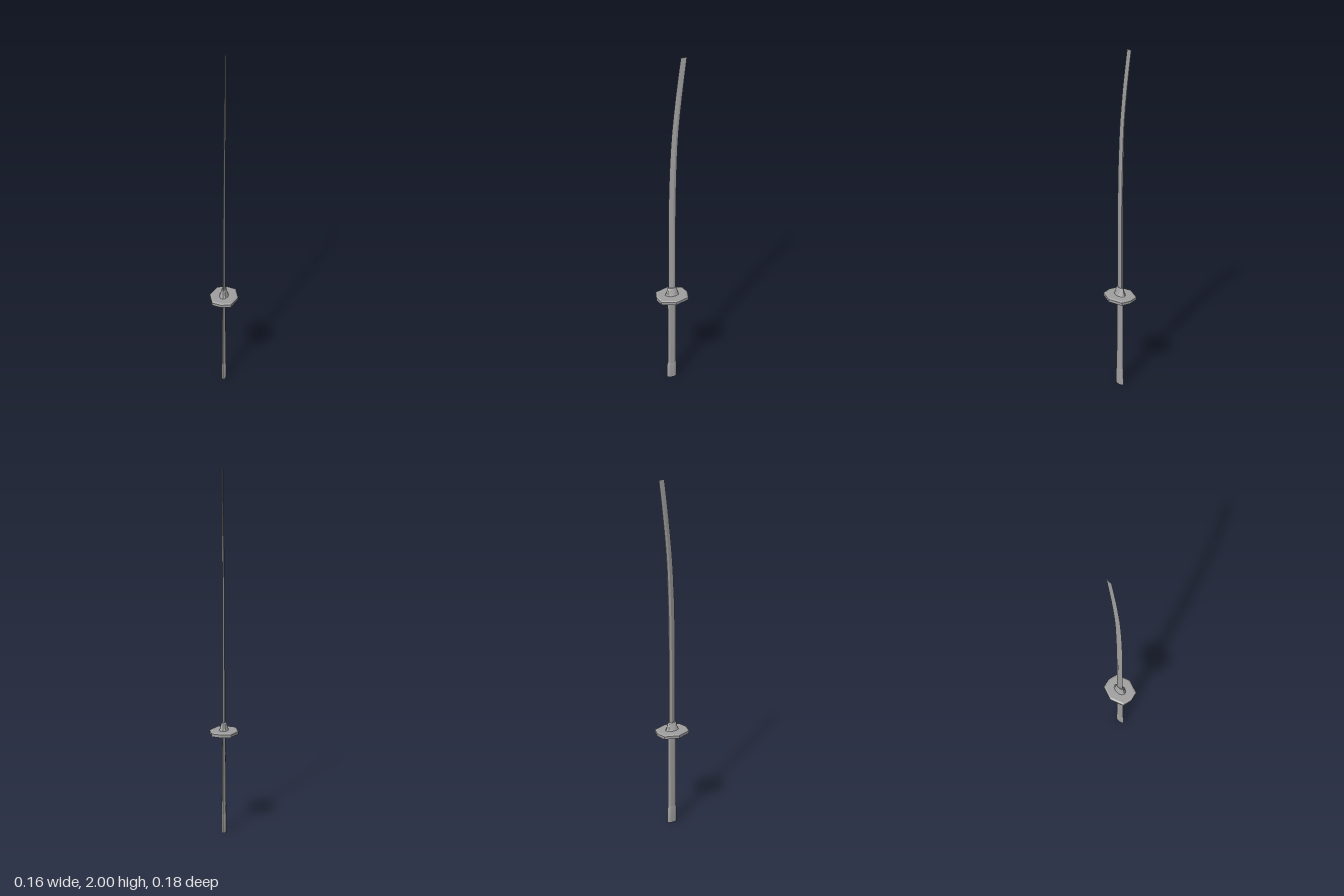
import * as THREE from 'three';
import { toCreasedNormals } from 'three/addons/utils/BufferGeometryUtils.js';

// Lofts a closed [x, z] profile through rings { y, sx, sz, x, z }, with end caps.
function loft(name, profile, rings, crease) {
  const n = profile.length, pos = [], idx = [];
  for (const { y, sx, sz, x = 0, z = 0 } of rings)
    for (const [px, pz] of profile) pos.push(x + px * sx, y, z + pz * sz);
  for (let i = 0; i < rings.length - 1; i++)
    for (let j = 0; j < n; j++) {
      const a = i * n + j, b = i * n + (j + 1) % n;
      idx.push(a, b, b + n, a, b + n, a + n);
    }
  const top = (rings.length - 1) * n;
  for (let j = 1; j < n - 1; j++) {
    idx.push(0, j + 1, j);
    idx.push(top, top + j, top + j + 1);
  }
  const g = new THREE.BufferGeometry();
  g.setAttribute('position', new THREE.Float32BufferAttribute(pos, 3));
  g.setIndex(idx);
  const mesh = new THREE.Mesh(toCreasedNormals(g, crease),
    new THREE.MeshStandardMaterial({ color: 0xa0a0a0 }));
  mesh.name = name;
  return mesh;
}

// Unit oval with a given number of sides, starting at +z
const oval = (sides) => Array.from({ length: sides }, (_, i) => {
  const a = (i / sides) * Math.PI * 2;
  return [Math.sin(a), Math.cos(a)];
});

export function createModel() {
  const group = new THREE.Group();
  group.name = 'sword';

  // Grip, slimming towards the guard
  group.add(loft('grip', oval(10), [
    { y: 0.09, sx: 0.013, sz: 0.025 },
    { y: 0.34, sx: 0.010, sz: 0.025 },
    { y: 0.58, sx: 0.008, sz: 0.025 },
  ], 0.8));

  // Pommel cap
  group.add(loft('pommel', oval(10), [
    { y: 0, sx: 0.014, sz: 0.03 },
    { y: 0.09, sx: 0.014, sz: 0.029 },
    { y: 0.105, sx: 0.0125, sz: 0.025 },
  ], 0.8));

  // Eight-sided guard plate: hollowed underneath, bevelled rim on top
  const plate = [[0, 0.092], [0.053, 0.079], [0.081, 0], [0.053, -0.079],
    [0, -0.092], [-0.053, -0.079], [-0.081, 0], [-0.053, 0.079]];
  group.add(loft('guard', plate, [
    [0.576, 0.35], [0.568, 0.9], [0.567, 1], [0.583, 1], [0.588, 0.88],
  ].map(([y, s]) => ({ y, sx: s, sz: s })), 0.3));

  // Collar holding the blade
  group.add(loft('collar', oval(10), [
    { y: 0.585, sx: 0.028, sz: 0.043 },
    { y: 0.592, sx: 0.023, sz: 0.036 },
    { y: 0.628, sx: 0.014, sz: 0.027 },
    { y: 0.632, sx: 0.010, sz: 0.023 },
  ], 0.6));

  // Curved blade: cutting edge at +z, ridge near the flat back
  const section = [[0, 1], [1, -0.3], [0.6, -1], [-0.6, -1], [-1, -0.3]];
  // y, edge z, back z, half thickness, sideways drift
  const blade = [
    [0.61, 0.020, -0.019, 0.0085, 0],
    [1.0, 0.020, -0.019, 0.008, 0],
    [1.2, 0.018, -0.021, 0.0075, 0],
    [1.35, 0.014, -0.024, 0.007, 0],
    [1.5, 0.007, -0.029, 0.006, 0],
    [1.6, 0, -0.035, 0.0055, 0],
    [1.7, -0.010, -0.044, 0.005, -0.001],
    [1.8, -0.021, -0.055, 0.004, -0.002],
    [1.9, -0.034, -0.067, 0.003, -0.004],
    [2.0, -0.048, -0.080, 0.0015, -0.006],
  ];
  group.add(loft('blade', section, blade.map(([y, e, b, t, x]) =>
    ({ y, sx: t, sz: (e - b) / 2, x, z: (e + b) / 2 })), 0.3));

  return group;
}
